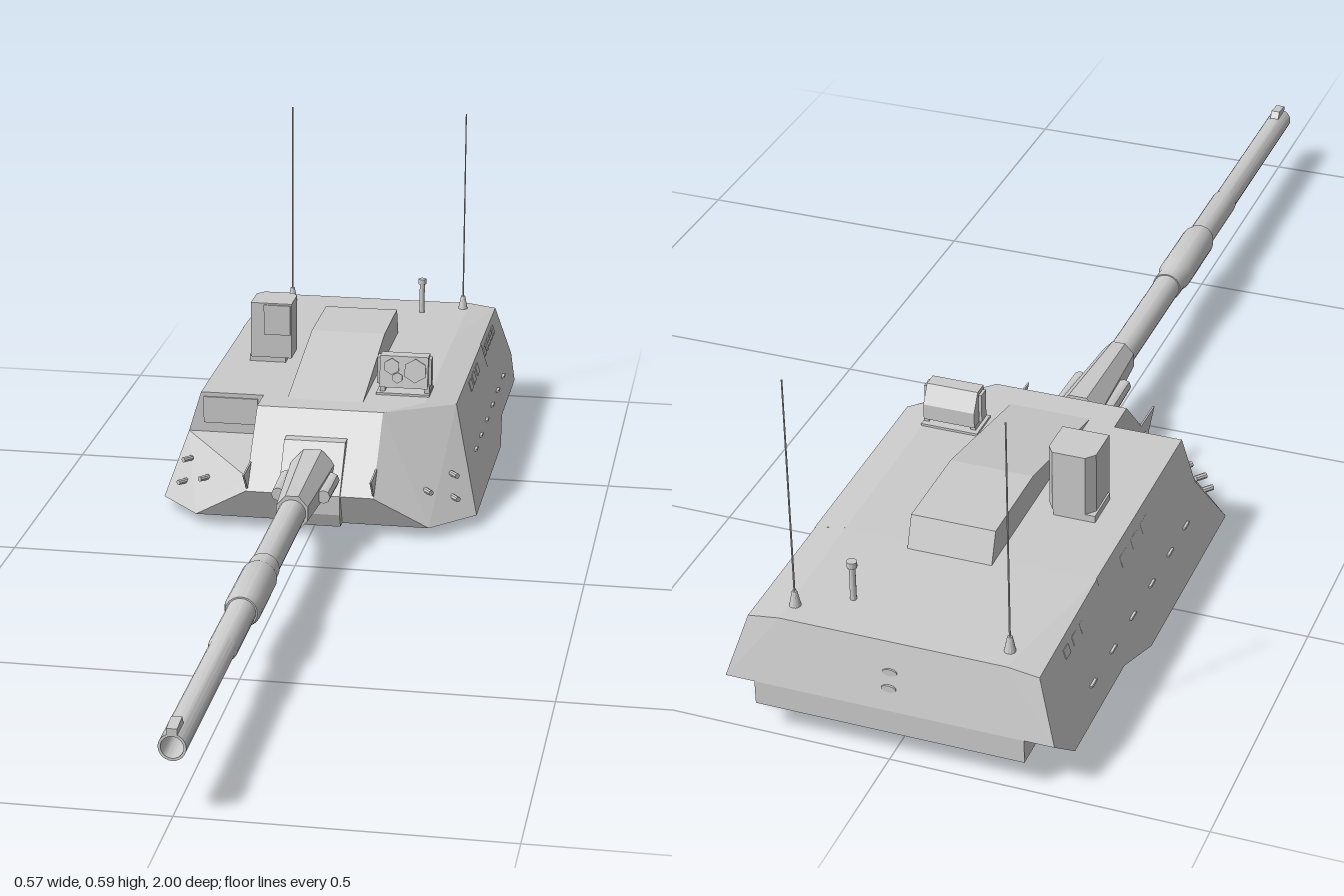
import * as THREE from 'three';
import { ConvexGeometry } from 'three/addons/geometries/ConvexGeometry.js';
import { toCreasedNormals } from 'three/addons/utils/BufferGeometryUtils.js';

const grey = new THREE.MeshStandardMaterial({ color: 0xcccccc, side: THREE.DoubleSide });
const SLOPE = Math.atan(0.055 / 0.17);
const GUN_Y = 0.108;

export function createModel() {
  const model = new THREE.Group();
  const add = (name, geo, x = 0, y = 0, z = 0, parent = model) => {
    const m = new THREE.Mesh(geo, grey);
    m.name = name;
    m.position.set(x, y, z);
    parent.add(m);
    return m;
  };
  const box = (name, x0, x1, y0, y1, z0, z1, parent) => add(name,
    new THREE.BoxGeometry(x1 - x0, y1 - y0, z1 - z0), (x0 + x1) / 2, (y0 + y1) / 2, (z0 + z1) / 2, parent);
  const hull = (name, pts) => add(name, new ConvexGeometry(pts.map((p) => new THREE.Vector3(...p))));
  const cyl = (r1, r2, h, n = 12) => toCreasedNormals(new THREE.CylinderGeometry(r1, r2, h, n), 0.8);
  // width of the sloping side at height y
  const sideX = (y) => 0.285 - (y - 0.02) * 0.055 / 0.17;
  // side profile extruded across x, points are [z, y]
  const slab = (name, pts, x0, x1, parent) => {
    const g = new THREE.ExtrudeGeometry(new THREE.Shape(pts.map(([z, y]) => new THREE.Vector2(-z, y))),
      { depth: x1 - x0, bevelEnabled: false });
    g.rotateY(Math.PI / 2);
    return add(name, g, x0, 0, 0, parent);
  };

  // Turret body: centre and left half with the full cheek
  const N = -0.115;
  hull('turretBody', [
    [N, 0.078, -0.145], [0.113, 0.078, -0.145], [N, 0.2, -0.26], [0.113, 0.2, -0.26],
    [N, 0.02, -0.17], [0.21, 0.02, -0.17], [0.285, 0.02, -0.25], [0.232, 0.19, -0.36],
    [0.18, 0.2, -0.33], [N, 0.02, -0.63], [0.285, 0.02, -0.63],
    [N, 0.05, -0.73], [sideX(0.05), 0.05, -0.73], [0.232, 0.19, -0.73], [0.18, 0.2, -0.73], [N, 0.2, -0.73],
  ]);
  // Right half behind the sight notch
  hull('rightBody', [
    [N, 0.2, -0.32], [-0.23, 0.2, -0.32], [-0.253, 0.125, -0.32], [-0.285, 0.02, -0.32], [N, 0.02, -0.32],
    [N, 0.02, -0.63], [-0.285, 0.02, -0.63], [N, 0.05, -0.73], [-sideX(0.05), 0.05, -0.73],
    [-0.23, 0.2, -0.73], [N, 0.2, -0.73],
  ]);
  // Right cheek below the notch
  hull('rightCheek', [
    [N, 0.078, -0.145], [N, 0.097, -0.163], [N, 0.125, -0.32], [-0.253, 0.125, -0.32],
    [-0.285, 0.02, -0.25], [-0.285, 0.02, -0.32], [-0.21, 0.02, -0.17], [N, 0.02, -0.17], [N, 0.02, -0.32],
  ]);
  box('sightWindow', -0.225, -0.125, 0.143, 0.192, -0.325, -0.317);

  // Rear bustle with cut lower corners
  const bustle = [];
  for (const s of [-1, 1]) {
    bustle.push([s * 0.18, 0.2, -0.73], [s * 0.231, s > 0 ? 0.19 : 0.2, -0.73], [s * sideX(0.05), 0.05, -0.73],
      [s * sideX(0.05), 0.05, -0.95], [s * 0.262, 0.09, -1], [s * 0.231, 0.19, -0.975], [s * 0.18, 0.197, -0.975]);
  }
  hull('bustle', bustle);
  box('rearBox', -0.215, 0.215, 0.05, 0.09, -1, -0.94);
  for (const y of [0.125, 0.15]) {
    const lamp = add('rearFitting', cyl(0.012, 0.012, 0.008, 10), 0, y, -0.99 + (y - 0.125) * 0.25);
    lamp.rotation.x = Math.PI / 2;
    lamp.scale.z = 0.5;
  }

  // Turret ring
  add('turretRing', new THREE.CylinderGeometry(0.182, 0.182, 0.022, 6, 1, true, Math.PI / 2), 0, 0.011, -0.415);

  // Roof fairing
  slab('roofFairing', [[-0.3, 0.198], [-0.57, 0.25], [-0.73, 0.25], [-0.75, 0.198]], -0.069, 0.069);

  // Gun mantlet
  slab('mantletFrame', [[-0.15, 0.02], [-0.14, 0.045], [-0.14, 0.08], [-0.2, 0.16], [-0.235, 0.16], [-0.235, 0.02]], -0.055, 0.055);
  const sleeve = new THREE.CylinderGeometry(0.033, 0.047, 0.21, 8, 1, false, Math.PI / 8).toNonIndexed();
  sleeve.rotateX(Math.PI / 2);
  sleeve.computeVertexNormals();
  add('mantletSleeve', sleeve, 0, GUN_Y, -0.075).scale.x = 0.9;
  for (const s of [-1, 1]) {
    const ear = add('mantletEar', cyl(0.012, 0.014, 0.09, 8), s * 0.04, 0.109, -0.1);
    ear.rotation.x = Math.PI / 2;
    slab('cheekBlade', [[-0.115, 0.118], [-0.15, 0.08], [-0.2, 0.08], [-0.2, 0.12]], s * 0.113 - 0.0015, s * 0.113 + 0.0015);
  }

  // Barrel with bore evacuator and open muzzle
  const profile = [[0.024, 0], [0.024, 0.29], [0.026, 0.29], [0.026, 0.32], [0.03, 0.335], [0.03, 0.47],
    [0.026, 0.485], [0.0235, 0.485], [0.0235, 0.63], [0.021, 0.64], [0.021, 1], [0.017, 1], [0.017, 0.88], [0, 0.88]];
  const barrel = new THREE.LatheGeometry(profile.map(([r, z]) => new THREE.Vector2(r, z)), 24);
  barrel.rotateX(Math.PI / 2);
  add('barrel', toCreasedNormals(barrel, 0.5), 0, GUN_Y, 0);
  slab('muzzleReference', [[1, 0.125], [1, 0.137], [0.965, 0.141], [0.955, 0.125]], -0.008, 0.008);

  // Tall sight on the right of the roof
  const tall = new THREE.Group();
  tall.name = 'tallSight';
  model.add(tall);
  box('sightBase', -0.178, -0.11, 0.198, 0.212, -0.59, -0.52, tall);
  const plan = new THREE.Shape([[-0.175, 0.515], [-0.098, 0.515], [-0.098, 0.575], [-0.108, 0.59], [-0.162, 0.59], [-0.175, 0.575]]
    .map(([x, z]) => new THREE.Vector2(x, z)));
  const head = new THREE.ExtrudeGeometry(plan, { depth: 0.105, bevelEnabled: false });
  head.rotateX(-Math.PI / 2);
  add('sightHead', head, 0, 0.21, 0, tall);
  box('sightGlass', -0.15, -0.1, 0.255, 0.312, -0.518, -0.512, tall);

  // Wide sight on the left of the roof
  const wide = new THREE.Group();
  wide.name = 'wideSight';
  model.add(wide);
  slab('sightHead', [[-0.365, 0.213], [-0.375, 0.27], [-0.4, 0.27], [-0.418, 0.24], [-0.418, 0.213]], 0.09, 0.178, wide);
  box('sightBase', 0.085, 0.182, 0.197, 0.204, -0.42, -0.36, wide);
  for (const x of [0.091, 0.172]) box('sightLeg', x, x + 0.009, 0.2, 0.217, -0.41, -0.37, wide);
  for (const x of [0.084, 0.178]) box('sightEar', x, x + 0.005, 0.215, 0.265, -0.4, -0.38, wide);
  for (const [x, y, r] of [[0.112, 0.251, 0.015], [0.155, 0.245, 0.022], [0.123, 0.231, 0.01]]) {
    const lens = add('sightLens', cyl(r, r, 0.008, 6), x, y, -0.3705 - (y - 0.24) * 0.18, wide);
    lens.rotation.x = Math.PI / 2 - 0.17;
  }

  // Antennas and rear sensor post
  for (const s of [-1, 1]) {
    add('antennaBase', cyl(0.004, 0.01, 0.03), s * 0.171, 0.208, -0.937);
    add('antenna', cyl(0.0012, 0.0015, 0.38, 6), s * 0.171, 0.4, -0.937);
  }
  add('sensorPost', cyl(0.005, 0.005, 0.065), 0.095, 0.228, -0.895);
  add('sensorCap', cyl(0.008, 0.008, 0.01), 0.095, 0.261, -0.895);

  // Side windows, side plates and cheek studs
  for (const s of [-1, 1]) {
    const onSide = (name, geo, y, z) => { add(name, geo, s * sideX(y), y, z).rotation.z = s * SLOPE; };
    for (const z of [-0.53, -0.575, -0.625]) onSide('sideWindow', new THREE.BoxGeometry(0.006, 0.018, 0.03), 0.172, z);
    for (const z of [-0.745, -0.78, -0.812, -0.845, -0.88]) onSide('sideWindow', new THREE.BoxGeometry(0.006, 0.016, 0.02), 0.172, z);
    for (const z of [-0.4, -0.48, -0.57, -0.66, -0.75, -0.84]) onSide('sidePlate', new THREE.BoxGeometry(0.012, 0.003, 0.022), 0.092, z);
    // studs sit on the plane of the cheek
    for (const [x, y, z] of [[0.243, 0.092, -0.257], [0.203, 0.075, -0.208], [0.248, 0.056, -0.235]]) {
      const stud = add('cheekStud', cyl(0.005, 0.005, 0.02, 8), s * x, y, z);
      stud.rotation.set(Math.PI / 2, 0, -s * 0.7);
    }
  }
  return model;
}
